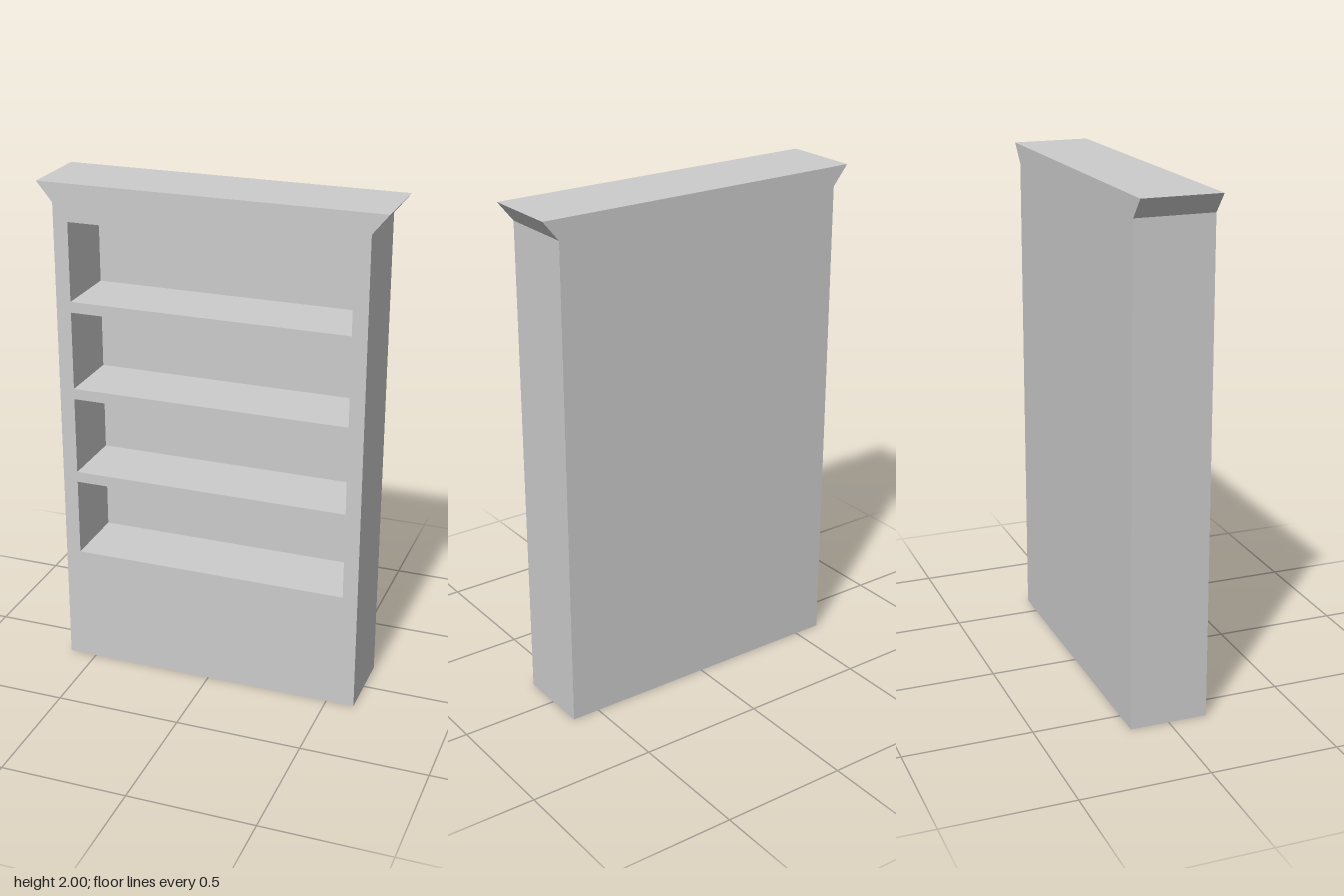
import * as THREE from 'three';

const HALF_WIDTH = 0.612, CROWN_HALF = 0.675, CROWN_BASE = 1.923, HEIGHT = 2;
const FRONT = 0.153, BACK = -0.153, RECESS_BACK = -0.125;
const OPENING = { half: 0.553, bottom: 0.477, height: 0.312, pitch: 0.355, count: 4 };

// Front outline: straight sides flaring into the crown
function outline() {
  return new THREE.Shape([
    [-HALF_WIDTH, 0], [HALF_WIDTH, 0], [HALF_WIDTH, CROWN_BASE],
    [CROWN_HALF, HEIGHT], [-CROWN_HALF, HEIGHT], [-HALF_WIDTH, CROWN_BASE],
  ].map(([x, y]) => new THREE.Vector2(x, y)));
}

function slab(name, shape, zBack, zFront, material) {
  const geometry = new THREE.ExtrudeGeometry(shape, { depth: zFront - zBack, bevelEnabled: false });
  geometry.translate(0, 0, zBack);
  const mesh = new THREE.Mesh(geometry, material);
  mesh.name = name;
  return mesh;
}

export function createModel() {
  const material = new THREE.MeshStandardMaterial({ color: 0xcccccc });
  const bookcase = new THREE.Group();
  bookcase.name = 'bookcase';

  // Carcass with four shelf openings
  const carcass = outline();
  for (let i = 0; i < OPENING.count; i++) {
    const y0 = OPENING.bottom + i * OPENING.pitch, y1 = y0 + OPENING.height, w = OPENING.half;
    carcass.holes.push(new THREE.Path([
      new THREE.Vector2(-w, y0), new THREE.Vector2(-w, y1),
      new THREE.Vector2(w, y1), new THREE.Vector2(w, y0),
    ]));
  }
  bookcase.add(slab('carcass', carcass, RECESS_BACK, FRONT, material));

  // Solid panel closing the back of the shelves
  bookcase.add(slab('backPanel', outline(), BACK, RECESS_BACK, material));
  return bookcase;
}
